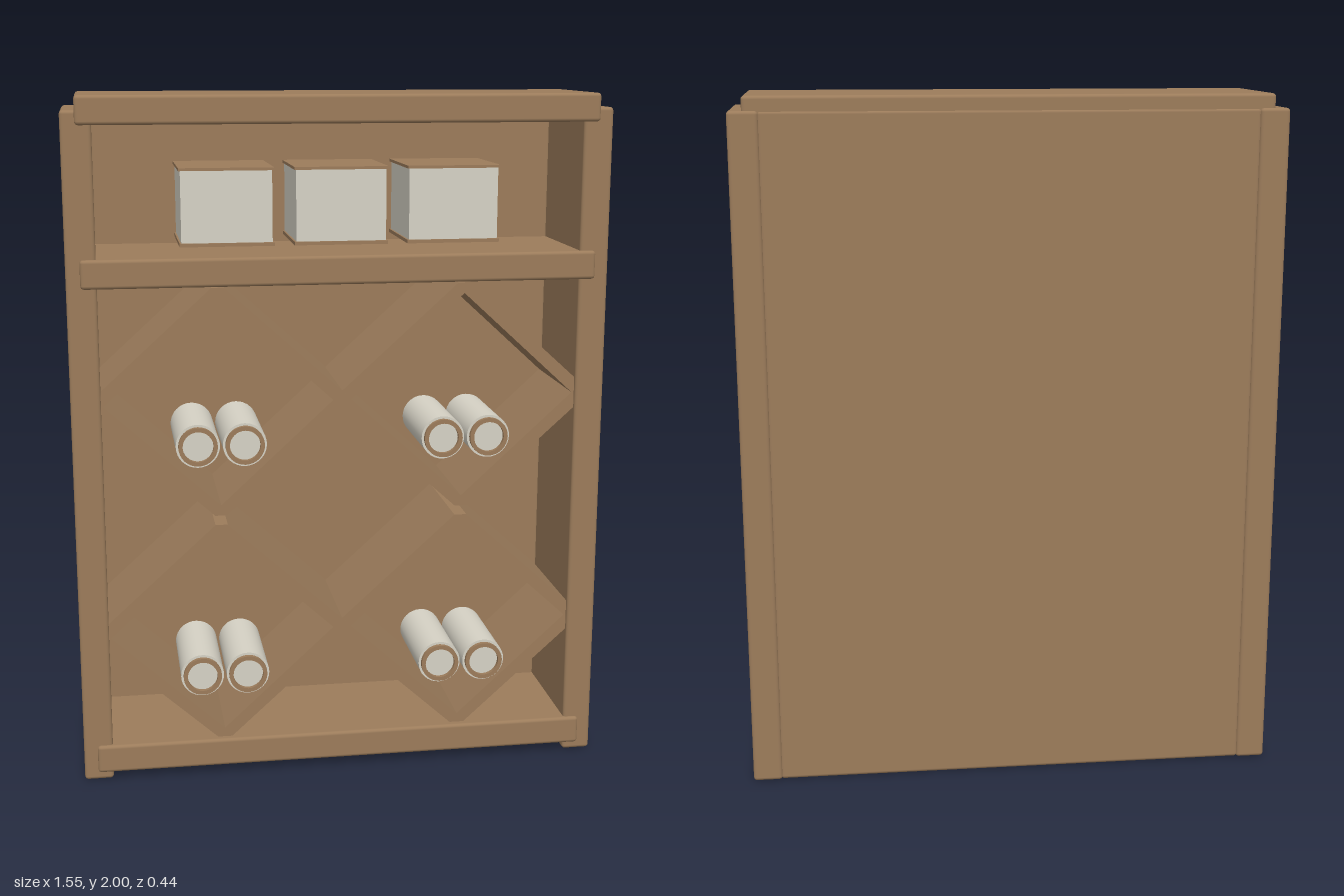
import * as THREE from 'three';
import { RoundedBoxGeometry } from 'three/addons/geometries/RoundedBoxGeometry.js';

const wood = new THREE.MeshStandardMaterial({ color: 0x9c7c5b });
wood.name = 'wood';
const cream = new THREE.MeshStandardMaterial({ color: 0xd6d2c5 });
cream.name = 'cream';

function add(parent, name, geometry, material, x = 0, y = 0, z = 0) {
  const mesh = new THREE.Mesh(geometry, material);
  mesh.name = name;
  mesh.position.set(x, y, z);
  parent.add(mesh);
  return mesh;
}

// Soft-edged board given by its limits on each axis
function board(parent, name, [x0, x1], [y0, y1], [z0, z1], radius = 0.01) {
  const geometry = new RoundedBoxGeometry(x1 - x0, y1 - y0, z1 - z0, 2, radius);
  return add(parent, name, geometry, wood, (x0 + x1) / 2, (y0 + y1) / 2, (z0 + z1) / 2);
}

// Diamond frame with blunted outer corners and a pointed opening
function diamondGeometry() {
  const w = 0.365, h = 0.333, c = 0.018;
  const shape = new THREE.Shape([
    [w, -c], [w, c], [c, h], [-c, h], [-w, c], [-w, -c], [-c, -h], [c, -h],
  ].map(([x, y]) => new THREE.Vector2(x, y)));
  shape.holes.push(new THREE.Path([
    [0.328, 0], [0, -0.302], [-0.328, 0], [0, 0.302],
  ].map(([x, y]) => new THREE.Vector2(x, y))));
  return new THREE.ExtrudeGeometry(shape, { depth: 0.355, bevelEnabled: false });
}

// Rolled towel: cream cylinder with a wooden rim around its front end
function towelRoll(rollGeometry, rimGeometry) {
  const roll = new THREE.Group();
  roll.name = 'towelRoll';
  add(roll, 'rollBody', rollGeometry, cream, 0, 0, 0.06).rotation.x = Math.PI / 2;
  add(roll, 'rollRim', rimGeometry, wood, 0, 0, 0.2).rotation.x = Math.PI / 2;
  return roll;
}

export function createModel() {
  const model = new THREE.Group();
  model.name = 'storageShelf';

  // Cabinet
  for (const s of [-1, 1]) {
    const side = board(model, s > 0 ? 'leftSidePanel' : 'rightSidePanel',
      [0.69, 0.775], [0.004, 1.96], [-0.22, 0.172]);
    side.position.x *= s;
  }
  board(model, 'backPanel', [-0.695, 0.695], [0.004, 1.96], [-0.215, -0.19]);
  board(model, 'topBoard', [-0.735, 0.735], [1.92, 2], [-0.212, 0.182]);
  board(model, 'middleShelf', [-0.735, 0.735], [1.473, 1.555], [-0.208, 0.182]);
  board(model, 'bottomShelf', [-0.735, 0.735], [0.028, 0.112], [-0.208, 0.182]);

  // Diamond compartments, each holding two rolls
  const diamond = diamondGeometry();
  const rollGeometry = new THREE.CylinderGeometry(0.063, 0.063, 0.29, 32);
  const rimGeometry = new THREE.LatheGeometry([
    [0.044, 0], [0.056, 0], [0.056, 0], [0.056, 0.018], [0.056, 0.018],
    [0.044, 0.018], [0.044, 0.018], [0.044, 0],
  ].map(([r, y]) => new THREE.Vector2(r, y)), 32);
  for (const y of [0.442, 1.136]) {
    for (const x of [-0.355, 0.355]) {
      // Tiny depth step keeps neighbouring frames from sharing a face
      add(model, 'diamondCompartment', diamond, wood, x, y, x > 0 ? -0.196 : -0.195);
      for (const dx of [-0.067, 0.067]) {
        const roll = towelRoll(rollGeometry, rimGeometry);
        roll.position.set(x + dx, y - 0.112, 0);
        model.add(roll);
      }
    }
  }

  // Storage boxes with wooden lid and base
  for (const x of [-0.325, -0.002, 0.32]) {
    const box = new THREE.Group();
    box.name = 'storageBox';
    box.position.set(x, 0, 0.01);
    add(box, 'boxBody', new THREE.BoxGeometry(0.256, 0.206, 0.28), cream, 0, 1.694, 0);
    add(box, 'boxLid', new THREE.BoxGeometry(0.266, 0.008, 0.29), wood, 0, 1.797, 0);
    add(box, 'boxBase', new THREE.BoxGeometry(0.266, 0.01, 0.29), wood, 0, 1.588, 0);
    model.add(box);
  }

  return model;
}
